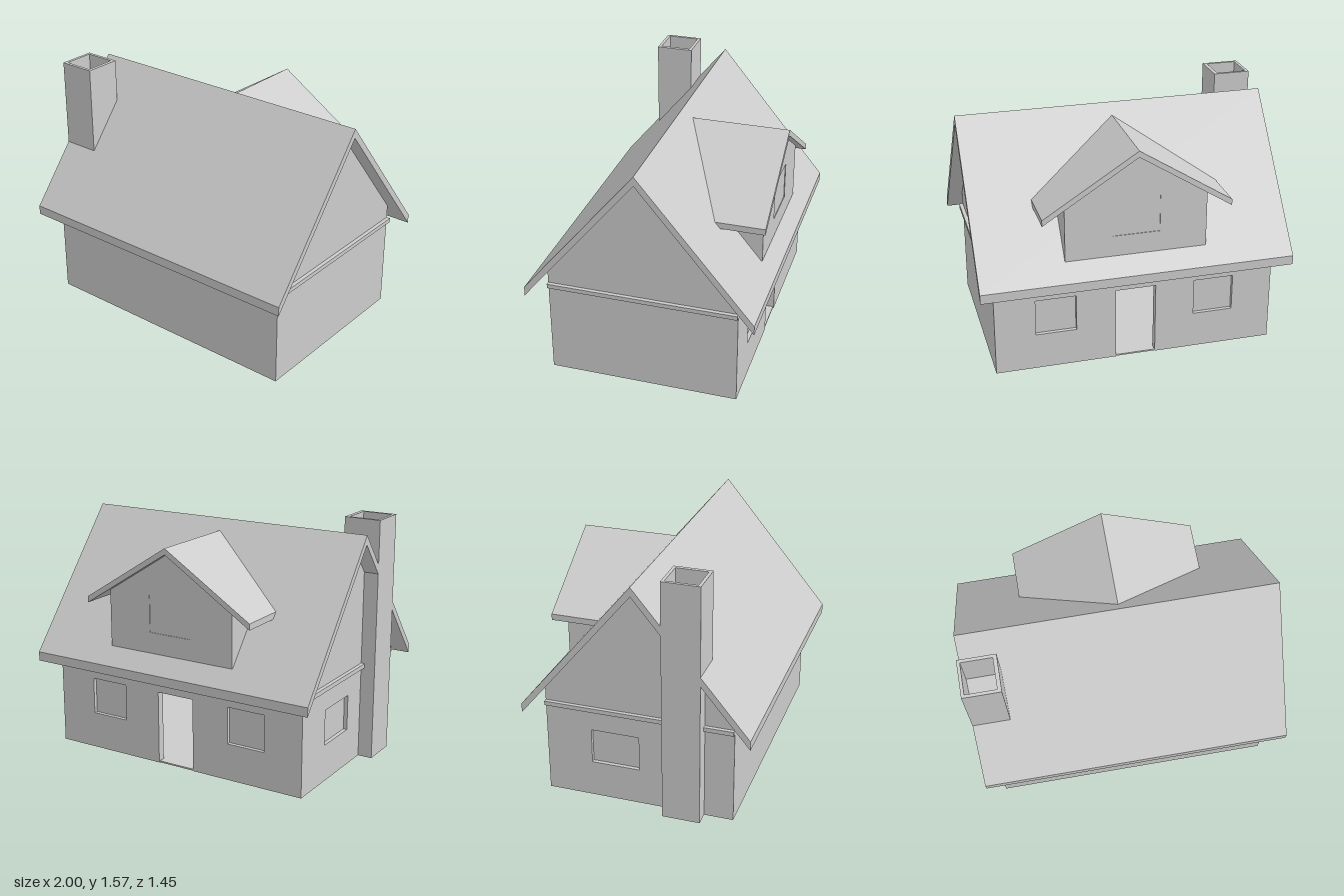
import * as THREE from 'three';

const material = new THREE.MeshStandardMaterial({ color: 0xcccccc, flatShading: true, side: THREE.DoubleSide });
const SLOPE = 1.207; // drop of the main roof per unit of depth

function polygon(points) {
  return new THREE.Shape(points.map(([x, y]) => new THREE.Vector2(x, y)));
}

// Adds a rectangular opening to a shape
function cut(shape, x0, x1, y0, y1) {
  shape.holes.push(new THREE.Path([[x0, y0], [x0, y1], [x1, y1], [x1, y0]].map(([x, y]) => new THREE.Vector2(x, y))));
  return shape;
}

function extrude(shape, depth) {
  return new THREE.ExtrudeGeometry(shape, { depth, bevelEnabled: false });
}

// Extrusion along x of a profile drawn in (z, y), ending at x = xMax
function extrudeX(shape, depth, xMax) {
  return extrude(shape, depth).rotateY(-Math.PI / 2).translate(xMax, 0, 0);
}

// Pulls the rear end of an extrusion onto the slope of the main roof
function fitToRoof(geometry, ridgeY) {
  const p = geometry.attributes.position;
  for (let i = 0; i < p.count; i++) {
    if (p.getZ(i) > -0.3) p.setZ(i, -(ridgeY - p.getY(i)) / SLOPE);
  }
  geometry.computeVertexNormals();
  return geometry;
}

// Inverted V roof section with vertical eave ends
function chevron(half, ridge, eave, thick) {
  return polygon([[-half, eave - thick], [0, ridge - thick], [half, eave - thick],
    [half, eave], [0, ridge], [-half, eave]]);
}

export function createModel() {
  const house = new THREE.Group();
  house.name = 'house';
  const add = (name, geometry, parent = house) => {
    const mesh = new THREE.Mesh(geometry, material);
    mesh.name = name;
    parent.add(mesh);
    return mesh;
  };
  const box = (name, x0, x1, y0, y1, z0, z1) => add(name,
    new THREE.BoxGeometry(x1 - x0, y1 - y0, z1 - z0).translate((x0 + x1) / 2, (y0 + y1) / 2, (z0 + z1) / 2));

  // Floor and plain front wall
  box('floor', -0.9, 0.9, 0, 0.01, -0.6, 0.6);
  box('frontWall', -0.905, 0.905, 0, 0.73, 0.555, 0.605);

  // Back wall: a doorway right through, windows only in the outer layer
  const backShape = () => polygon([[-0.905, 0], [-0.13, 0], [-0.13, 0.48], [0.13, 0.48],
    [0.13, 0], [0.905, 0], [0.905, 0.73], [-0.905, 0.73]]);
  const windowed = backShape();
  cut(windowed, -0.645, -0.385, 0.24, 0.48);
  cut(windowed, 0.385, 0.645, 0.24, 0.48);
  add('backWallOuter', extrude(windowed, 0.025).translate(0, 0, -0.605));
  add('backWallInner', extrude(backShape(), 0.025).translate(0, 0, -0.58));

  // Gable walls, the right one with a recessed window
  const gable = () => polygon([[-0.605, 0], [0.605, 0], [0.605, 0.74], [0, 1.47], [-0.605, 0.74]]);
  add('leftGableWall', extrudeX(gable(), 0.05, 0.905));
  add('rightGableWallOuter', extrudeX(cut(gable(), -0.31, 0, 0.24, 0.47), 0.025, -0.88));
  add('rightGableWallInner', extrudeX(gable(), 0.025, -0.855));

  // Ledges across the gable ends
  box('leftLedge', 0.9, 0.93, 0.607, 0.635, -0.605, 0.605);
  box('rightLedge', -0.93, -0.9, 0.607, 0.635, -0.605, 0.605);

  // Main roof
  add('mainRoof', extrudeX(chevron(0.725, 1.51, 0.635, 0.06), 2, 1));

  // Dormer on the back slope
  const dormer = new THREE.Group();
  dormer.name = 'dormer';
  dormer.position.x = 0.01;
  house.add(dormer);
  const face = () => polygon([[-0.45, 0.745], [0.45, 0.745], [0.45, 1.13], [0, 1.415], [-0.45, 1.13]]);
  add('dormerWalls', fitToRoof(extrude(face(), 0.5).translate(0, 0, -0.636), 1.48), dormer);
  add('dormerWindowWall', extrude(cut(face(), -0.15, 0.15, 0.88, 1.12), 0.004).translate(0, 0, -0.64), dormer);
  add('dormerRoof', fitToRoof(extrude(chevron(0.596, 1.44, 1.06, 0.04), 0.5).translate(0, 0, -0.685), 1.505), dormer);

  // Hollow chimney through the right end of the roof
  const flue = polygon([[-1, -0.42], [-0.76, -0.42], [-0.76, -0.18], [-1, -0.18]]);
  cut(flue, -0.98, -0.785, -0.4, -0.2);
  add('chimney', extrude(flue, 1.57).rotateX(-Math.PI / 2));
  box('chimneyBase', -0.99, -0.77, 0, 0.02, 0.19, 0.41);

  return house;
}
